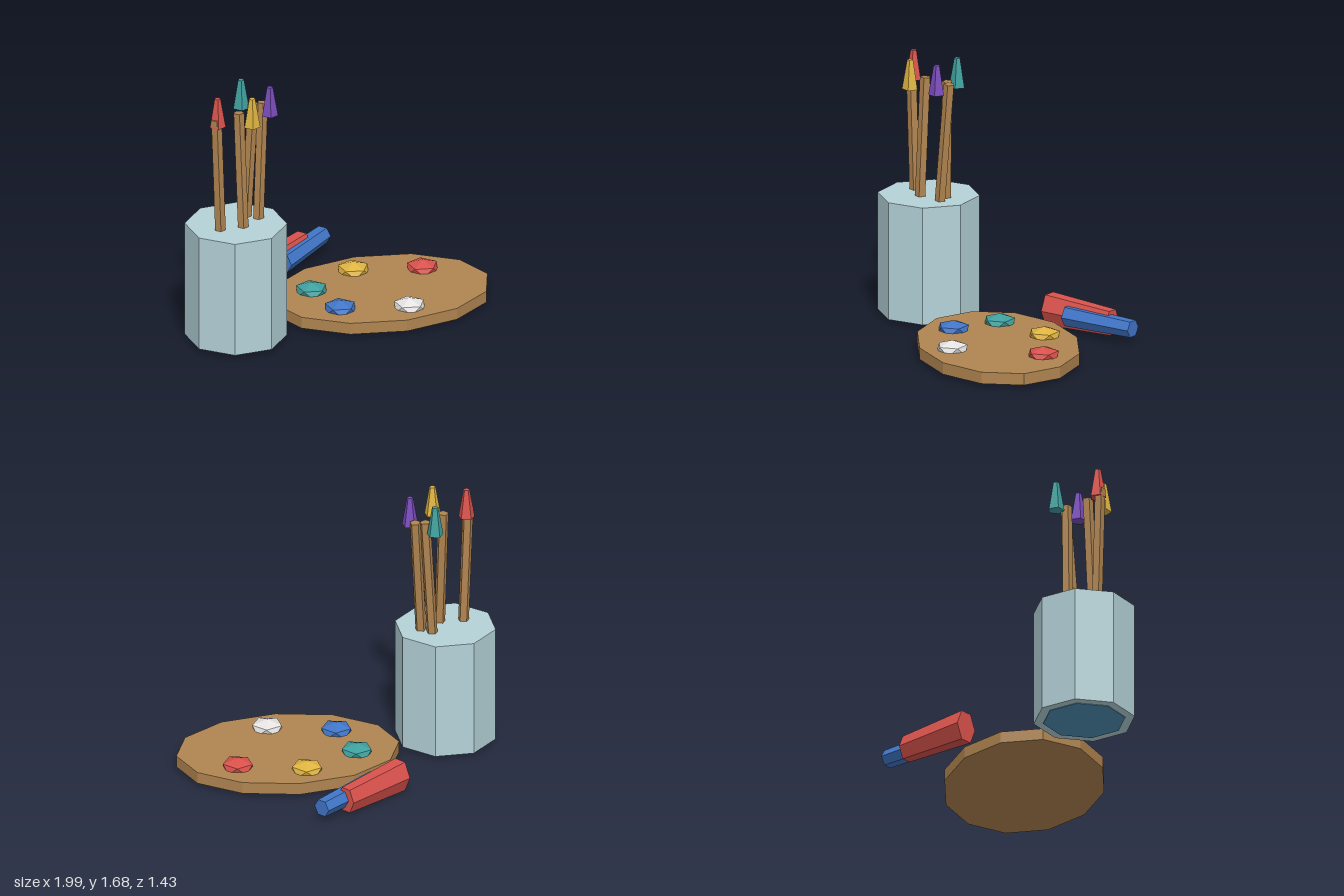
import * as THREE from 'three';

const COLORS = {
  cup: 0xb4d2d8, water: 0x4f8fb5, wood: 0xb08450, red: 0xd9524c, yellow: 0xdfb440,
  teal: 0x3fa09e, blue: 0x4176c8, purple: 0x7a4cbc, white: 0xe6e4e2,
};
const materials = {};
for (const key in COLORS) {
  materials[key] = new THREE.MeshStandardMaterial({ color: COLORS[key], flatShading: true });
}

export function createModel() {
  const model = new THREE.Group();
  model.name = 'paintingSet';
  const add = (name, geometry, color, x = 0, y = 0, z = 0) => {
    const mesh = new THREE.Mesh(geometry, materials[color]);
    mesh.name = name;
    mesh.position.set(x, y, z);
    model.add(mesh);
    return mesh;
  };

  // Octagonal cup with a coloured disc under its base
  add('cup', new THREE.CylinderGeometry(0.32, 0.32, 0.76, 8), 'cup', -0.68, 0.4, -0.085);
  add('cupBaseDisc', new THREE.CylinderGeometry(0.26, 0.26, 0.01, 8), 'water', -0.68, 0.021, -0.085);

  // Twelve-sided palette, stretched into a slanted oval
  const oval = new THREE.Matrix4().makeBasis(
    new THREE.Vector3(0.657, 0, 0.03),
    new THREE.Vector3(0, 1, 0),
    new THREE.Vector3(0.133, 0, 0.546));
  add('palette', new THREE.CylinderGeometry(1, 1, 0.075, 12).applyMatrix4(oval), 'wood', 0.335, 0.0575, 0.165);

  // Flattened paint blobs: icosahedra standing on a point
  const blob = new THREE.IcosahedronGeometry(1, 0)
    .rotateX(-Math.atan((1 + Math.sqrt(5)) / 2))
    .scale(0.109, 0.056, 0.109);
  const blobs = [
    ['teal', 0, -0.11], ['yellow', 0.4, -0.15], ['red', 0.735, 0.125],
    ['blue', -0.06, 0.21], ['white', 0.275, 0.485],
  ];
  for (const [color, x, z] of blobs) add(color + 'PaintBlob', blob, color, x, 0.1, z);

  // Brushes: leaning five-sided handles and upright tapered tips
  const tip = new THREE.CylinderGeometry(0.02, 0.053, 0.19, 5).rotateY(Math.PI);
  const up = new THREE.Vector3(0, 1, 0);
  // colour, handle at the cup top (x, z), handle end (x, z), tip (x, z)
  const brushes = [
    ['red', -0.815, -0.085, -0.85, -0.085, -0.835, -0.09],
    ['yellow', -0.68, -0.02, -0.68, -0.06, -0.68, 0.06],
    ['teal', -0.555, -0.125, -0.515, -0.105, -0.53, -0.195],
    ['purple', -0.52, -0.05, -0.46, -0.075, -0.478, 0.01],
  ];
  for (const [color, x0, z0, x1, z1, tx, tz] of brushes) {
    const a = new THREE.Vector3(x0, 0.76, z0);
    const b = new THREE.Vector3(x1, 1.545, z1);
    const handle = add(color + 'BrushHandle',
      new THREE.CylinderGeometry(0.035, 0.035, a.distanceTo(b), 5).rotateY(Math.PI), 'wood');
    handle.position.lerpVectors(a, b, 0.5);
    handle.quaternion.setFromUnitVectors(up, b.clone().sub(a).normalize());
    add(color + 'BrushTip', tip, color, tx, 1.585, tz);
  }

  // Six-sided tapered paint tubes lying behind the palette
  const addTube = (name, color, x0, z0, x1, z1, r0, r1, stretch) => {
    const length = Math.hypot(x1 - x0, z1 - z0);
    const geometry = new THREE.CylinderGeometry(r1, r0, length, 6)
      .rotateZ(-Math.PI / 2)
      .scale(1, stretch, 1);
    const tube = add(name, geometry, color, (x0 + x1) / 2, 0.1, (z0 + z1) / 2);
    tube.rotation.y = Math.atan2(z0 - z1, x1 - x0);
  };
  addTube('redPaintTube', 'red', -0.04, -0.537, 0.446, -0.655, 0.083, 0.066, 1.36);
  addTube('bluePaintTube', 'blue', 0.152, -0.532, 0.636, -0.667, 0.07, 0.058, 1);

  return model;
}
